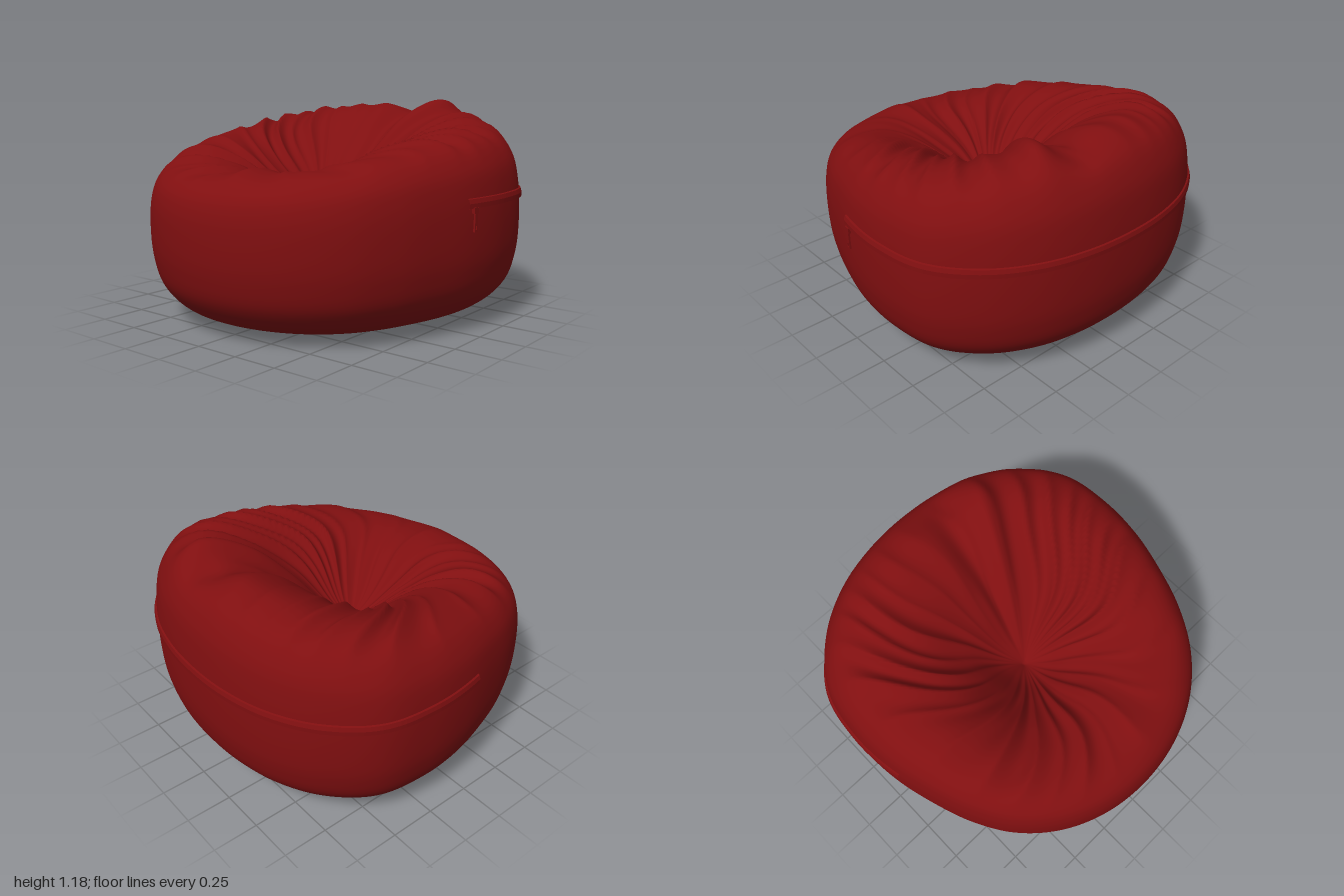
import * as THREE from 'three';
import { mergeVertices } from 'three/addons/utils/BufferGeometryUtils.js';

const TAU = Math.PI * 2;
const deg = THREE.MathUtils.degToRad;
const smooth = THREE.MathUtils.smoothstep;

// Values every 15 degrees from the front (0) to the back (180), mirrored on the other side
const PLAN = [1.0, 1.0, 0.995, 0.98, 0.955, 0.945, 0.972, 1.02, 1.075, 1.068, 1.035, 1.0, 0.985];
const RIM = [0.84, 0.845, 0.86, 0.89, 0.935, 0.97, 1.0, 1.03, 1.065, 1.1, 1.13, 1.145, 1.15];
const PIT = 0.55;

// Smooth lookup in one of the tables above
function around(table, angle) {
  const u = Math.abs(Math.atan2(Math.sin(angle), Math.cos(angle))) / deg(15);
  const i = Math.min(Math.floor(u), 11), f = u - i;
  const at = k => table[k < 0 ? -k : k > 12 ? 24 - k : k];
  const [a, b, c, d] = [at(i - 1), at(i), at(i + 1), at(i + 2)];
  return b + 0.5 * f * (c - a + f * (2 * a - 5 * b + 4 * c - d + f * (3 * (b - c) + d - a)));
}

// Vertical section from the middle of the base to the middle of the seat
function section(angle) {
  const R = around(PLAN, angle), H = around(RIM, angle);
  const up = k => 0.5 + k * (H - 0.5);
  const into = k => PIT + k * (H - PIT);
  const points = [
    [0, 0.005], [0.4, 0.006], [0.65, 0.03], [0.83, 0.085], [0.94, 0.2], [0.985, 0.34], [1, 0.5],
    [0.99, up(0.45)], [0.955, up(0.71)], [0.87, up(0.91)], [0.7, H],
    [0.5, into(0.87)], [0.3, into(0.55)], [0.13, into(0.2)], [0, PIT],
  ];
  return new THREE.CatmullRomCurve3(points.map(([r, y]) => new THREE.Vector3(r * R, y, 0)));
}

// A gaussian bump along the angle
const bump = (a, centre, width) => {
  const d = Math.atan2(Math.sin(a - centre), Math.cos(a - centre)) / width;
  return Math.exp(-d * d);
};

// Height of the gathered folds at an angle and a distance from the middle
function folds(angle, r) {
  const reach = smooth(r, 0.03, 0.45) * (1 - smooth(r, 0.72, 0.97));
  const a = angle + 0.22 * Math.sin(r * 5) * Math.sin(angle) + 0.05 * Math.sin(r * 9 + angle * 3);
  const calm = 1 - 0.8 * bump(angle, deg(185), deg(32)) - 0.35 * bump(angle, 0, deg(30));
  const pleat = 1 - 2 * Math.abs(Math.sin(a * 13 + 1.3 * Math.sin(a * 3 + 1)));
  const wave = Math.sin(a * 19 + 2 * Math.sin(a * 2) + r * 3);
  const gathers = calm * (0.016 * pleat + 0.011 * wave);
  // One deep crease at the back, and a soft one running to the front
  const crease = 0.045 * bump(angle, deg(147) + 0.12 * r, 0.1) - 0.06 * bump(angle, deg(166) + 0.08 * r, 0.13);
  const front = 0.02 * bump(a, 0.12, 0.12) - 0.022 * bump(a, -0.06, 0.07);
  return reach * (gathers + crease + front);
}

// Grid of points to an indexed surface; columns run round, rows run up
function skin(columns, closed) {
  const rows = columns[0].length, n = columns.length;
  const index = [];
  for (let j = 0; j < (closed ? n : n - 1); j++) {
    for (let i = 0; i < rows - 1; i++) {
      const a = j * rows + i, b = ((j + 1) % n) * rows + i;
      index.push(a, b, b + 1, a, b + 1, a + 1);
    }
  }
  const geometry = new THREE.BufferGeometry();
  geometry.setAttribute('position', new THREE.Float32BufferAttribute(columns.flat().flatMap(p => p.toArray()), 3));
  geometry.setIndex(index);
  return geometry;
}

function bagGeometry() {
  const COLS = 288, ROWS = 112;
  const columns = [];
  for (let j = 0; j < COLS; j++) {
    const angle = j / COLS * TAU;
    const curve = section(angle), R = around(PLAN, angle);
    const column = [];
    for (let i = 0; i <= ROWS; i++) {
      const t = i / ROWS;
      const p = curve.getPoint(t);
      const r = Math.max(p.x, 0), f = r / R;
      const top = smooth(t, 0.5, 0.58);
      const y = p.y + top * folds(angle, f);
      // The pit lies slightly forward of the middle
      const shift = top * 0.05 * (1 - smooth(f, 0, 0.7));
      column.push(new THREE.Vector3(r * Math.sin(angle), y, r * Math.cos(angle) + shift));
    }
    columns.push(column);
  }
  const geometry = mergeVertices(skin(columns, true), 1e-5);
  geometry.computeVertexNormals();
  return geometry;
}

// Distance of the side wall from the middle at a given height
function wallRadius(angle, y) {
  const curve = section(angle);
  let low = 5 / 14, high = 10 / 14;
  for (let k = 0; k < 24; k++) {
    const mid = (low + high) / 2;
    if (curve.getPoint(mid).y < y) low = mid; else high = mid;
  }
  return curve.getPoint(low).x;
}

const onWall = (angle, y, out) => {
  const r = wallRadius(angle, y) + out;
  return new THREE.Vector3(r * Math.sin(angle), y, r * Math.cos(angle));
};

export function createModel() {
  const group = new THREE.Group();
  const fabric = new THREE.MeshStandardMaterial({ color: 0x800f10 });
  fabric.name = 'dark red fabric';
  fabric.side = THREE.DoubleSide;
  const add = (name, geometry, parent = group) => {
    const mesh = new THREE.Mesh(geometry, fabric);
    mesh.name = name;
    parent.add(mesh);
    return mesh;
  };

  add('bag', bagGeometry());

  // Zip flap running from one side round the back to the other
  const start = deg(85.5), end = TAU - start, STEPS = 120;
  const flap = [];
  for (let j = 0; j <= STEPS; j++) {
    const angle = start + (end - start) * j / STEPS;
    flap.push([[0.662, -0.006], [0.666, 0.012], [0.69, 0.014], [0.712, 0.009], [0.717, -0.006]]
      .map(([y, out]) => onWall(angle, y, out)));
  }
  const flapGeometry = skin(flap, false).toNonIndexed();
  flapGeometry.computeVertexNormals();
  add('zipFlap', flapGeometry);

  // Zip slider with a hanging pull
  const zip = new THREE.Group();
  zip.name = 'zipPull';
  zip.position.copy(onWall(deg(88.2), 0.655, 0.006));
  zip.rotation.y = deg(84);
  group.add(zip);
  add('slider', new THREE.BoxGeometry(0.035, 0.03, 0.022), zip);
  const tab = new THREE.Shape([[-0.009, 0], [0.009, 0], [0.014, -0.1], [-0.014, -0.1]].map(p => new THREE.Vector2(...p)));
  tab.holes.push(new THREE.Path([[-0.006, -0.07], [-0.006, -0.09], [0.006, -0.09], [0.006, -0.07]].map(p => new THREE.Vector2(...p))));
  const pull = add('pullTab', new THREE.ExtrudeGeometry(tab, { depth: 0.01, bevelEnabled: false }), zip);
  pull.position.set(0, -0.008, 0);

  return group;
}
